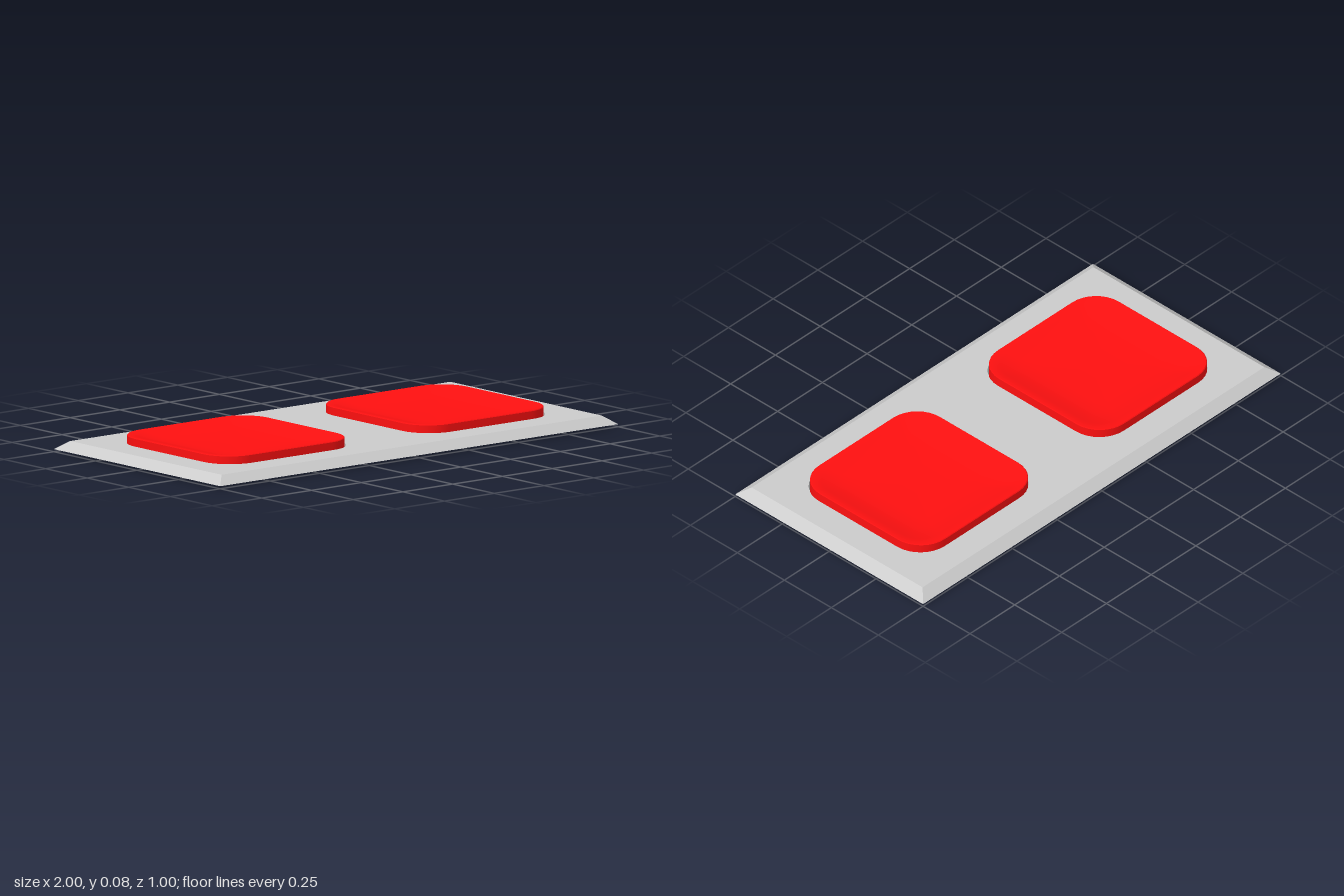
import * as THREE from 'three';
import { toCreasedNormals } from 'three/addons/utils/BufferGeometryUtils.js';

// Closed outline of a rounded rectangle, as [x, z] pairs
function outline(hx, hz, r, n) {
  const pts = [];
  for (let q = 0; q < 4; q++) {
    const cx = (q === 0 || q === 3 ? 1 : -1) * (hx - r);
    const cz = (q < 2 ? 1 : -1) * (hz - r);
    for (let i = 0; i <= n; i++) {
      const a = (q + (n ? i / n : 0)) * Math.PI / 2;
      pts.push([cx + r * Math.cos(a), cz + r * Math.sin(a)]);
    }
  }
  return pts;
}

// Skin over stacked outlines, each ring being [hx, hz, radius, y]
function loft(rings, n) {
  const pos = [], index = [], count = 4 * (n + 1);
  for (const [hx, hz, r, y] of rings)
    for (const [x, z] of outline(hx, hz, r, n)) pos.push(x, y, z);
  for (let i = 0; i < rings.length - 1; i++)
    for (let j = 0; j < count; j++) {
      const k = (j + 1) % count;
      const a = i * count + j, b = i * count + k, c = a + count, d = b + count;
      index.push(a, c, b, b, c, d);
    }
  const g = new THREE.BufferGeometry();
  g.setAttribute('position', new THREE.Float32BufferAttribute(pos, 3));
  g.setIndex(index);
  return toCreasedNormals(g, 0.6);
}

export function createModel() {
  const group = new THREE.Group();
  const grey = new THREE.MeshStandardMaterial({ color: 0xcccccc, side: THREE.DoubleSide });
  const red = new THREE.MeshStandardMaterial({ color: 0xff1010 });
  const add = (name, geometry, material, x = 0) => {
    const mesh = new THREE.Mesh(geometry, material);
    mesh.name = name;
    mesh.position.x = x;
    group.add(mesh);
  };
  const TOP = 0.043, HOLE = 0.338, RADIUS = 0.13, SEG = 8;

  // Top plate with two rounded openings
  const plate = new THREE.Shape(outline(0.955, 0.455, 0, 0).map(p => new THREE.Vector2(...p)));
  for (const x of [-0.5, 0.5])
    plate.holes.push(new THREE.Path(
      outline(HOLE, HOLE, RADIUS, SEG).map(p => new THREE.Vector2(p[0] + x, p[1]))));
  add('topPlate', new THREE.ShapeGeometry(plate).rotateX(-Math.PI / 2).translate(0, TOP, 0), grey);

  // Sloping rim, open underneath
  add('bevelledRim', loft([[1, 0.5, 0, 0.01], [0.955, 0.455, 0, TOP]], 0), grey);

  // Shallow cups hanging below the openings
  const cup = loft([[0, 0, 0, 0], [HOLE, HOLE, RADIUS, 0], [HOLE, HOLE, RADIUS, TOP]], SEG);

  // Buttons with a straight wall, narrow lip and dished top
  const button = loft([
    [0.335, 0.335, 0.128, 0.004],
    [0.335, 0.335, 0.128, 0.073],
    [0.332, 0.332, 0.125, 0.076],
    [0.318, 0.318, 0.115, 0.0755],
    [0.295, 0.295, 0.1, 0.07],
    [0.26, 0.26, 0.08, 0.061],
    [0.22, 0.22, 0.06, 0.055],
    [0.17, 0.17, 0.045, 0.053],
    [0, 0, 0, 0.052],
  ], SEG);

  for (const [side, x] of [['right', -0.5], ['left', 0.5]]) {
    add(side + 'Cup', cup, grey, x);
    add(side + 'Button', button, red, x - 0.003);
  }
  return group;
}
